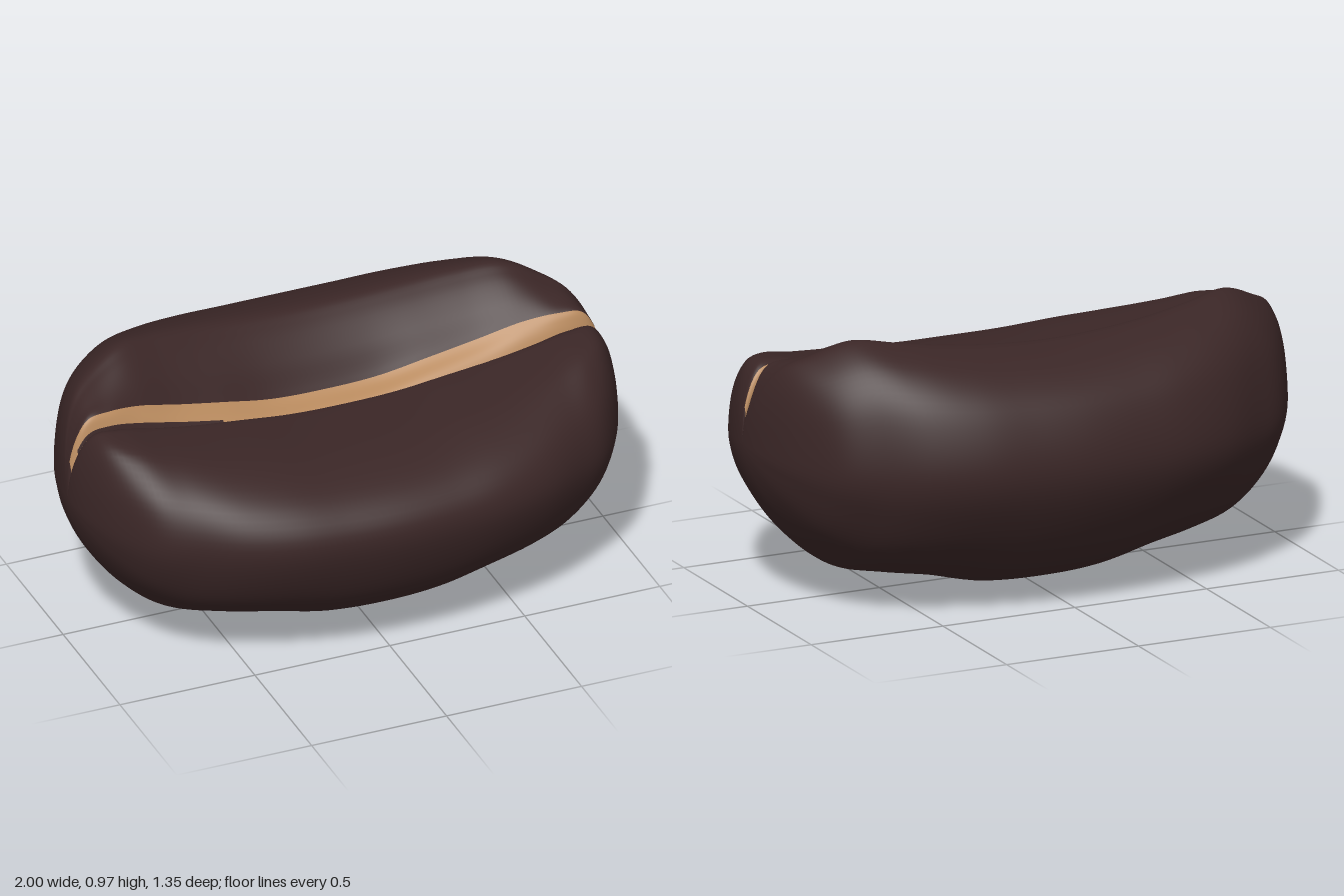
import * as THREE from 'three';

// Measures at nine even steps of angle from the middle (x = 0) to the tip (x = 1)
const depth = [1, 0.985, 0.95, 0.87, 0.745, 0.62, 0.42, 0.2, 0];
const bottom = [0, 0.01, 0.055, 0.085, 0.12, 0.22, 0.34, 0.46, 0.57];
const backRidge = [0.905, 0.912, 0.928, 0.95, 0.965, 0.915, 0.855, 0.735, 0.57];
const frontLip = [0.74, 0.745, 0.765, 0.785, 0.81, 0.835, 0.825, 0.72, 0.57];
const seamEdgeY = [0.7, 0.71, 0.75, 0.79, 0.835, 0.855, 0.84, 0.72, 0.57];
const seamEdgeZ = [-0.08, -0.075, -0.06, -0.045, -0.02, 0.005, 0.015, 0.02, 0.04];
const seamFloor = [0.62, 0.63, 0.66, 0.69, 0.72, 0.75, 0.735, 0.66, 0.57];

// Middle cross-section as [z, y], from the front lip round below to the back ridge
const frontTop = [[0.4, 0.722], [0.6, 0.65]];
const belly = [[0.675, 0.52], [0.6, 0.3], [0.45, 0.15], [0.2, 0.03], [0, 0],
  [-0.2, 0.03], [-0.45, 0.15], [-0.6, 0.33], [-0.675, 0.53]];
const backTop = [[-0.62, 0.73], [-0.5, 0.845], [-0.33, 0.905]];

const MID = 0.57, CENTRE = 0.04;
const lerp = THREE.MathUtils.lerp;

// Smooth lookup in a table, mirrored at the middle
function sample(table, u) {
  const f = Math.min(Math.abs(u), 1) * 8, i = Math.min(Math.floor(f), 7), t = f - i;
  const p0 = table[Math.abs(i - 1)], p1 = table[i], p2 = table[i + 1];
  const p3 = i < 7 ? table[i + 2] : 2 * p2 - p1;
  return p1 + 0.5 * t * (p2 - p0 + t * (2 * p0 - 5 * p1 + 4 * p2 - p3 + t * (3 * (p1 - p2) + p3 - p0)));
}

// Closed cross-section at angle u
function section(u) {
  const d = sample(depth, u), lip = sample(frontLip, u), ridge = sample(backRidge, u);
  const low = sample(bottom, u), floor = sample(seamFloor, u);
  const ey = sample(seamEdgeY, u), ez = sample(seamEdgeZ, u);
  const k = Math.min(1, d * 1.7);
  const z = (v) => CENTRE + (v - CENTRE) * d;
  const upper = (y, top, top0) => MID + (y - MID) * (top - MID) / (top0 - MID);
  const rz = z(-0.33), fz = CENTRE + 0.012 * k;
  return [
    [CENTRE + 0.02 * k, lerp(floor, lip, 0.55)],       // seam front wall
    [CENTRE + 0.04 * k, lerp(floor, lip, 0.88)],       // lip edge
    [CENTRE + 0.09 * k, lip],
    ...frontTop.map(([a, y]) => [z(a), upper(y, lip, 0.74)]),
    ...belly.map(([a, y]) => [z(a), MID + (y - MID) * (MID - low) / MID]),
    ...backTop.map(([a, y]) => [z(a), upper(y, ridge, 0.905)]),
    [lerp(rz, ez, 0.34), lerp(ridge, ey, 0.13)],       // inner slope of the back lobe
    [lerp(rz, ez, 0.7), lerp(ridge, ey, 0.52)],
    [ez, ey],                                          // seam back edge
    [lerp(ez, fz, 0.55), lerp(ey, floor, 0.4)],        // seam back wall
    [fz, floor],                                       // seam floor
  ];
}

export function createModel() {
  const COLS = 112, STEPS = 6;
  const count = section(0).length, ring = count * STEPS;
  const positions = [], shell = [], seam = [];

  // Rings of points from tip to tip
  for (let i = 0; i <= COLS; i++) {
    const u = (i / COLS) * 2 - 1, x = Math.sin(u * Math.PI / 2);
    const curve = new THREE.CatmullRomCurve3(
      section(u).map(([z, y]) => new THREE.Vector3(x, y, z)), true, 'catmullrom', 0.5);
    for (let j = 0; j < ring; j++) {
      const p = curve.getPoint(j / ring);
      positions.push(x, Math.max(p.y, 0), p.z);
    }
  }

  // Faces, sorted into the dark shell and the pale seam
  for (let i = 0; i < COLS; i++) {
    const x = Math.sin(((i + 0.5) / COLS * 2 - 1) * Math.PI / 2);
    for (let j = 0; j < ring; j++) {
      const span = Math.floor(j / STEPS), next = (j + 1) % ring;
      const inSeam = span === 0 || span >= count - 3;
      const darkStreak = span === count - 2 && x > -0.96 && x < -0.4;
      const target = inSeam && !darkStreak && Math.abs(x) < 0.987 ? seam : shell;
      const a = i * ring + j, b = i * ring + next, c = a + ring, d = b + ring;
      target.push(a, b, c, b, d, c);
    }
  }

  // Normals are shared so the two parts meet smoothly
  const whole = new THREE.BufferGeometry();
  whole.setAttribute('position', new THREE.Float32BufferAttribute(positions, 3));
  whole.setIndex([...shell, ...seam]);
  whole.computeVertexNormals();

  const roastBrown = new THREE.MeshStandardMaterial({ color: 0x3a2626 });
  roastBrown.name = 'roast brown';
  const paleTan = new THREE.MeshStandardMaterial({ color: 0xb88a5e });
  paleTan.name = 'pale tan';

  const group = new THREE.Group();
  group.name = 'coffeeBean';
  for (const [name, index, material] of [['beanShell', shell, roastBrown], ['centreSeam', seam, paleTan]]) {
    const geometry = new THREE.BufferGeometry();
    geometry.setAttribute('position', whole.getAttribute('position'));
    geometry.setAttribute('normal', whole.getAttribute('normal'));
    geometry.setIndex(index);
    const mesh = new THREE.Mesh(geometry, material);
    mesh.name = name;
    group.add(mesh);
  }
  return group;
}
